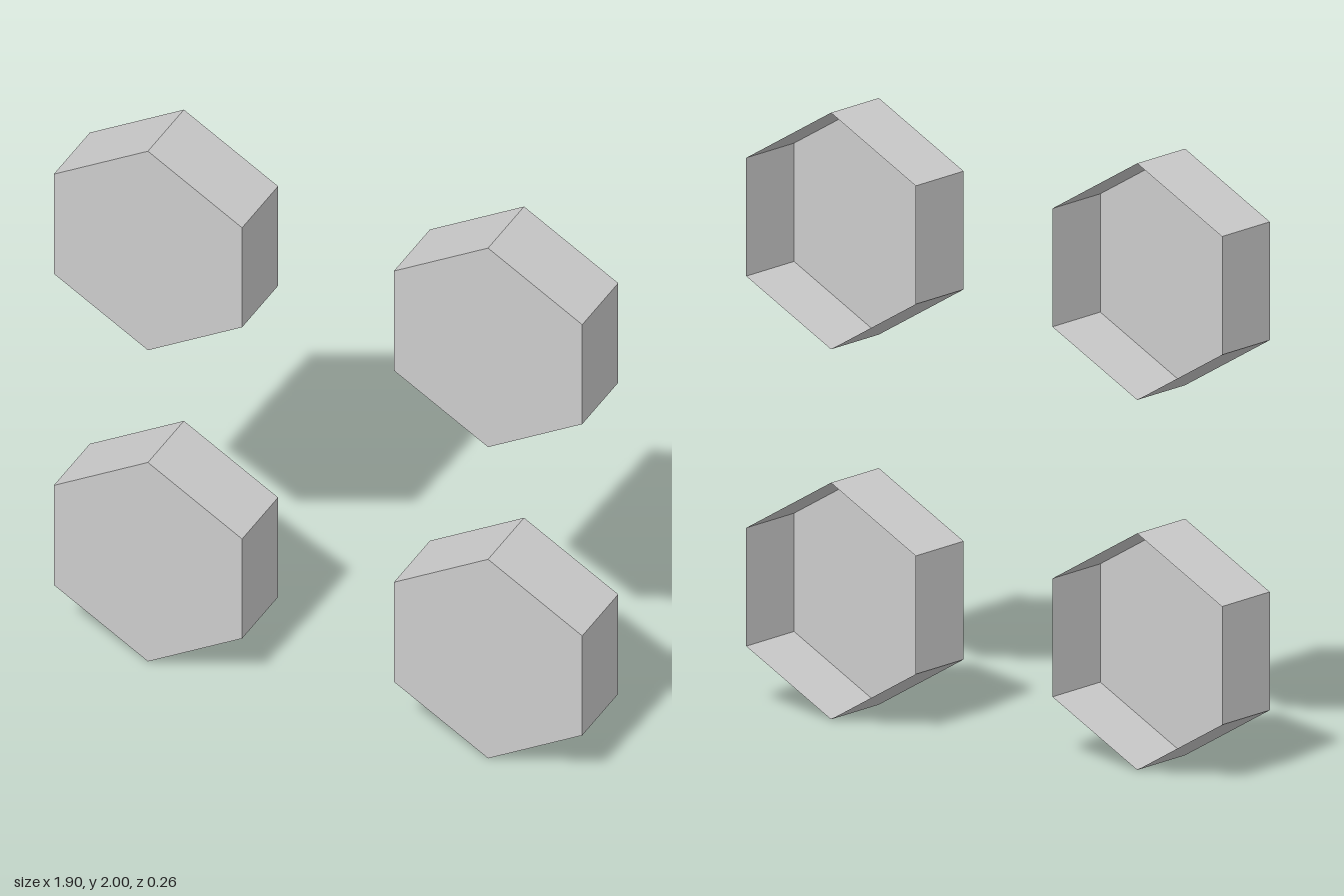
import * as THREE from 'three';

const RADIUS = 0.39, DEPTH = 0.26;

export function createModel() {
  const model = new THREE.Group();
  const material = new THREE.MeshStandardMaterial({
    color: 0xcccccc, flatShading: true, side: THREE.DoubleSide,
  });

  // Six-sided wall, open at the back, with a corner pointing up
  const wallGeometry = new THREE.CylinderGeometry(RADIUS, RADIUS, DEPTH, 6, 1, true);
  wallGeometry.rotateX(Math.PI / 2);

  // Hexagonal panel closing the front
  const panelGeometry = new THREE.CircleGeometry(RADIUS, 6, Math.PI / 2);
  panelGeometry.translate(0, 0, DEPTH / 2);

  // Four identical hexagonal cups in a two by two layout
  for (const [row, y] of [['lower', RADIUS], ['upper', 2 - RADIUS]]) {
    for (const [side, x] of [['Left', 0.61], ['Right', -0.61]]) {
      const cup = new THREE.Group();
      cup.name = `${row}${side}HexCup`;
      const wall = new THREE.Mesh(wallGeometry, material);
      wall.name = 'hexWall';
      const panel = new THREE.Mesh(panelGeometry, material);
      panel.name = 'frontPanel';
      cup.add(wall, panel);
      cup.position.set(x, y, 0);
      model.add(cup);
    }
  }
  return model;
}
